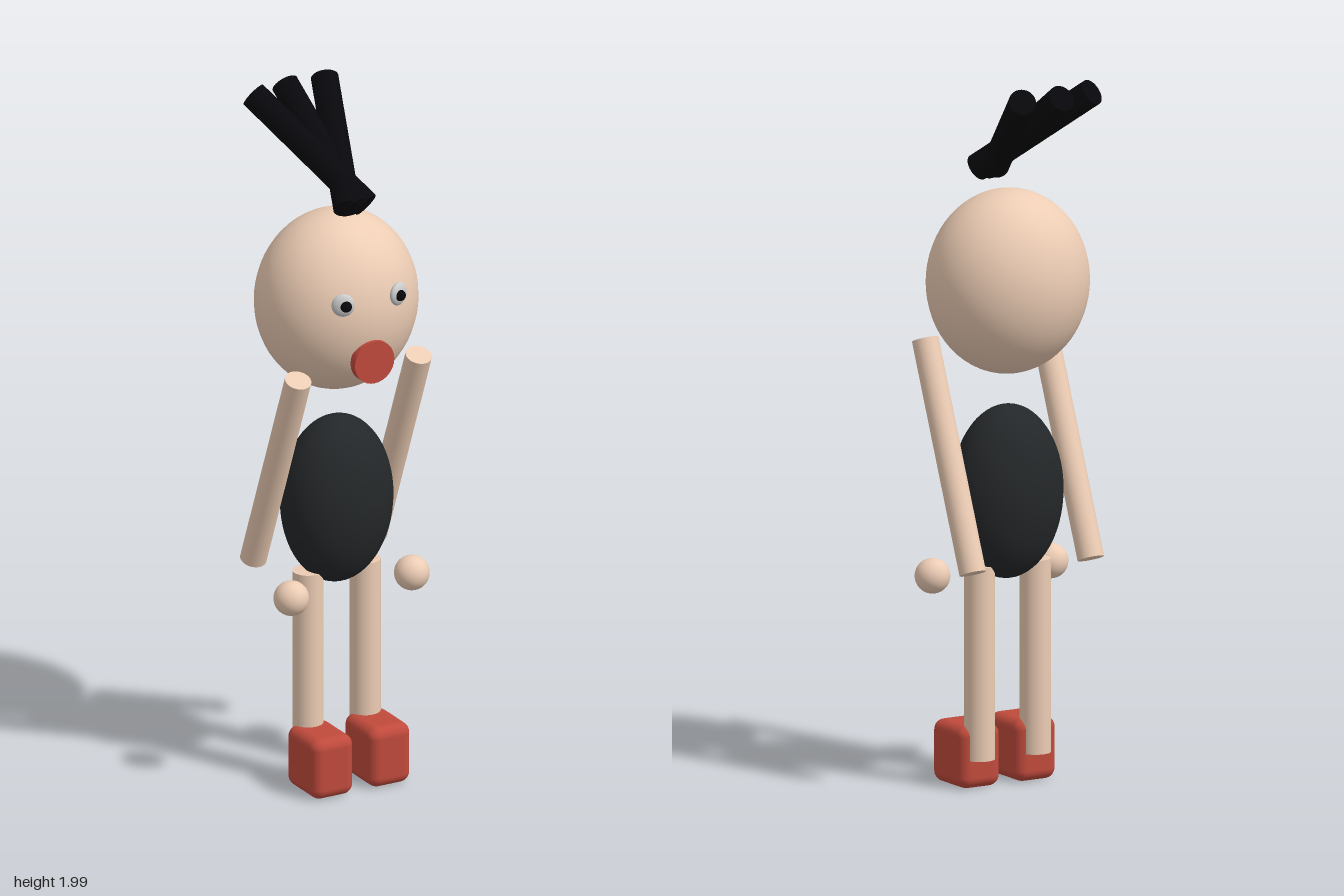
import * as THREE from 'three';
import { RoundedBoxGeometry } from 'three/addons/geometries/RoundedBoxGeometry.js';

const paint = (color) => new THREE.MeshStandardMaterial({ color });

export function createModel() {
  const model = new THREE.Group();
  const skin = paint(0xecccb4);
  const black = paint(0x08080c);
  const cloth = paint(0x242729);
  const red = paint(0xc04a3c);
  const white = paint(0xe8e8e8);

  function add(name, geometry, material, x, y, z) {
    const mesh = new THREE.Mesh(geometry, material);
    mesh.name = name;
    mesh.position.set(x, y, z);
    model.add(mesh);
    return mesh;
  }

  function ellipsoid(name, material, [x, y, z], [rx, ry, rz]) {
    return add(name, new THREE.SphereGeometry(1, 48, 32).scale(rx, ry, rz), material, x, y, z);
  }

  // Capped cylinder running between two points
  function rod(name, material, from, to, radius) {
    const a = new THREE.Vector3(...from);
    const b = new THREE.Vector3(...to);
    const axis = b.clone().sub(a);
    const mid = a.clone().add(b).multiplyScalar(0.5);
    const geometry = new THREE.CylinderGeometry(radius, radius, axis.length(), 32);
    const mesh = add(name, geometry, material, mid.x, mid.y, mid.z);
    mesh.quaternion.setFromUnitVectors(new THREE.Vector3(0, 1, 0), axis.normalize());
    return mesh;
  }

  // Head and torso
  ellipsoid('head', skin, [0, 1.415, 0.022], [0.231, 0.257, 0.209]);
  ellipsoid('torso', cloth, [0, 0.826, 0.025], [0.163, 0.243, 0.13]);

  // Round red nose disc
  rod('nose', red, [0, 1.297, 0.21], [0, 1.297, 0.235], 0.062);

  // Paired parts
  for (const [side, s] of [['left', 1], ['right', -1]]) {
    const eye = ellipsoid(side + 'Eye', white, [s * 0.087, 1.475, 0.213], [0.032, 0.033, 0.015]);
    eye.rotation.y = s * 0.4;
    ellipsoid(side + 'Pupil', black, [s * 0.085, 1.475, 0.226], [0.016, 0.016, 0.016]);

    rod(side + 'Arm', skin, [s * 0.19, 1.25, 0.145], [s * 0.19, 0.638, -0.103], 0.037);
    ellipsoid(side + 'Hand', skin, [s * 0.19, 0.594, 0.107], [0.049, 0.049, 0.049]);
    rod(side + 'Leg', skin, [s * 0.09, 0.628, 0.024], [s * 0.09, 0.085, 0.024], 0.043);
    add(side + 'Shoe', new RoundedBoxGeometry(0.13, 0.175, 0.168, 5, 0.03), red, s * 0.09, 0.0925, 0.092);
  }

  // Three crossing hair tufts floating above the head
  const tufts = [
    [[0.035, 1.717, 0.125], [-0.139, 1.966, -0.192]],
    [[0.003, 1.717, 0.128], [-0.025, 1.966, -0.218]],
    [[-0.024, 1.717, 0.125], [0.094, 1.966, -0.207]],
  ];
  tufts.forEach(([root, tip], i) => rod('hairTuft' + (i + 1), black, root, tip, 0.038));

  return model;
}
